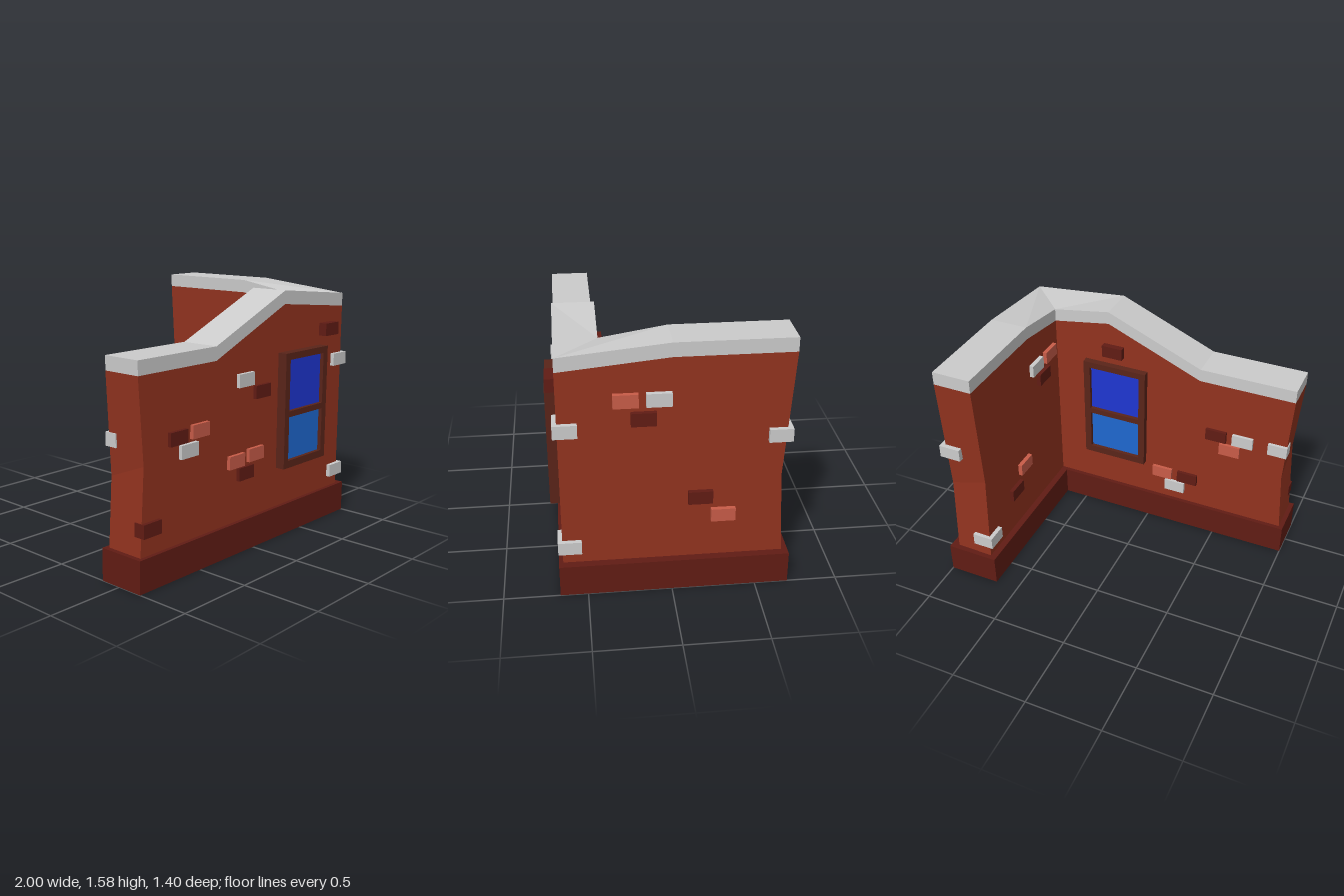
import * as THREE from 'three';

const material = (color) => new THREE.MeshStandardMaterial({ color, flatShading: true, side: THREE.DoubleSide });
const brickRed = material(0x92331f);
const darkRed = material(0x611c14);
const lightRed = material(0xc85c48);
const grey = material(0xcccccc);
const frameBrown = material(0x5a2419);
const glassTop = material(0x1e36d2);
const glassBottom = material(0x1f68d0);

// Joins cross-sections (each running up the outer side, then down the inner side) and caps both ends.
function loft(rings, closed) {
  const pos = [];
  const quad = (a, b, c, d) => pos.push(...a, ...b, ...c, ...a, ...c, ...d);
  const n = rings[0].length;
  for (let i = 0; i < rings.length - 1; i++) {
    const a = rings[i], b = rings[i + 1];
    for (let j = 0; j < (closed ? n : n - 1); j++) {
      const k = (j + 1) % n;
      quad(a[j], b[j], b[k], a[k]);
    }
  }
  const s = rings[0], e = rings[rings.length - 1];
  for (let k = 0; k < n / 2 - 1; k++) {
    quad(s[n - 1 - k], s[k], s[k + 1], s[n - 2 - k]);
    quad(e[k], e[n - 1 - k], e[n - 2 - k], e[k + 1]);
  }
  const g = new THREE.BufferGeometry();
  g.setAttribute('position', new THREE.Float32BufferAttribute(pos, 3));
  g.computeVertexNormals();
  return g;
}

// Stations along the L: outer x, z, inner x, z and top height
const stations = [
  [-0.978, 0.64, -0.978, 0.39, 1.31],
  [-0.34, 0.64, -0.34, 0.39, 1.31],
  [0.31, 0.64, 0.31, 0.39, 1.583],
  [0.95, 0.64, 0.7, 0.39, 1.52],
  [0.95, 0, 0.7, 0, 1.583],
  [0.95, -0.685, 0.7, -0.685, 1.583],
];
const copingHeight = 0.085;

function wallRing([ox, oz, ix, iz, top], i) {
  const y = top - copingHeight;
  // The two free ends are pinched in at mid height
  const dx = i === 0 ? 1 : 0, dz = i === stations.length - 1 ? 1 : 0;
  const outerMid = 0.72, innerMid = dx ? 0.62 : dz ? 0.8 : 0.72;
  return [
    [ox + dx * 0.008, 0.2, oz + dz * 0.02],
    [ox + dx * 0.038, outerMid, oz + dz * 0.05],
    [ox, y, oz],
    [ix, y, iz],
    [ix + dx * 0.033, innerMid, iz + dz * 0.045],
    [ix + dx * 0.008, 0.2, iz + dz * 0.015],
  ];
}

const copingRing = ([ox, oz, ix, iz, top]) => [
  [ox, top - copingHeight, oz], [ox, top, oz], [ix, top, iz], [ix, top - copingHeight, iz],
];

const baseRing = ([ox, oz, ix, iz]) => [[ox, 0, oz], [ox, 0.2, oz], [ix, 0.2, iz], [ix, 0, iz]];

function add(parent, name, geometry, mat) {
  const mesh = new THREE.Mesh(geometry, mat);
  mesh.name = name;
  parent.add(mesh);
  return mesh;
}

// Box given by its extents
function block(parent, name, mat, x0, x1, y0, y1, z0, z1) {
  const m = add(parent, name, new THREE.BoxGeometry(x1 - x0, y1 - y0, z1 - z0), mat);
  m.position.set((x0 + x1) / 2, (y0 + y1) / 2, (z0 + z1) / 2);
  return m;
}

function rectangle(Type, x0, x1, y0, y1) {
  return new Type([[x0, y0], [x1, y0], [x1, y1], [x0, y1]].map(([x, y]) => new THREE.Vector2(x, y)));
}

// Two-pane window, standing on its own z = 0 plane and facing +z
function makeWindow(name, depth) {
  const g = new THREE.Group();
  g.name = name;
  const frame = rectangle(THREE.Shape, -0.225, 0.225, 0.457, 1.2);
  frame.holes.push(rectangle(THREE.Path, -0.18, 0.18, 0.505, 0.79), rectangle(THREE.Path, -0.18, 0.18, 0.828, 1.157));
  add(g, 'windowFrame', new THREE.ExtrudeGeometry(frame, { depth, bevelEnabled: false }), frameBrown);
  block(g, 'lowerPane', glassBottom, -0.18, 0.18, 0.505, 0.79, 0, depth - 0.025);
  block(g, 'upperPane', glassTop, -0.18, 0.18, 0.828, 1.157, 0, depth - 0.025);
  return g;
}

export function createModel() {
  const model = new THREE.Group();
  model.name = 'cornerWall';

  add(model, 'wall', loft(stations.map(wallRing), false), brickRed);
  add(model, 'coping', loft(stations.map(copingRing), true), grey);

  // Plinth, hollow underneath
  const plinth = [[-1, 0.665, -1, 0.363], [1, 0.665, 0.657, 0.363], [1, -0.702, 0.657, -0.702]];
  add(model, 'plinth', loft(plinth.map(baseRing), false), darkRed);

  // Windows
  const front = makeWindow('frontWindow', 0.062);
  front.position.set(0.48, 0, 0.64);
  const back = makeWindow('backWindow', 0.045);
  back.rotation.y = Math.PI;
  back.position.set(0.255, 0, 0.39);
  model.add(front, back);

  // Protruding bricks: position along the wall, height, material
  const bricks = new THREE.Group();
  bricks.name = 'bricks';
  model.add(bricks);
  const w = 0.0715, h = 0.041;
  const frontBricks = [
    [-0.675, 0.835, darkRed], [-0.492, 0.846, lightRed], [-0.587, 0.745, grey],
    [-0.08, 1.08, grey], [0.083, 0.988, darkRed], [-0.16, 0.59, lightRed],
    [0.025, 0.602, lightRed], [-0.07, 0.5, darkRed],
  ];
  for (const [x, y, m] of frontBricks) block(bricks, 'frontBrick', m, x - w, x + w, y - h, y + h, 0.6, 0.663);
  block(bricks, 'frontBrick', darkRed, 0.69, 0.833, 1.262, 1.344, 0.62, 0.695);

  const backBricks = [
    [-0.475, 0.835, darkRed], [-0.66, 0.835, grey], [-0.575, 0.74, lightRed],
    [-0.1, 0.41, lightRed], [-0.285, 0.41, darkRed], [-0.195, 0.315, grey],
  ];
  for (const [x, y, m] of backBricks) block(bricks, 'backBrick', m, x - w, x + w, y - h, y + h, 0.368, 0.43);
  block(bricks, 'backBrick', darkRed, 0.2, 0.343, 1.265, 1.347, 0.35, 0.42);

  const sideBricks = [
    [0.26, 1.256, lightRed, grey === 0 ? grey : lightRed], [0.075, 1.256, grey, grey],
    [0.16, 1.14, darkRed, darkRed], [-0.165, 0.613, darkRed, lightRed], [-0.3, 0.488, lightRed, darkRed],
  ];
  for (const [z, y, outer, inner] of sideBricks) {
    block(bricks, 'rightBrick', outer, 0.91, 0.978, y - h, y + h, z - w, z + w);
    block(bricks, 'innerBrick', inner, 0.672, 0.74, y - h, y + h, z - w, z + w);
  }

  // Bricks that wrap around the corners and the free ends
  for (const y of [0.313, 1.085]) block(bricks, 'cornerBrick', grey, 0.835, 0.978, y - h, y + h, 0.527, 0.666);
  block(bricks, 'outerEndBrick', grey, 0.838, 0.978, 0.956, 1.038, -0.685, -0.547);
  block(bricks, 'innerEndBrick', grey, 0.672, 0.81, 0.28, 0.362, -0.685, -0.55);
  block(bricks, 'backEndBrick', grey, -0.965, -0.835, 0.795, 0.877, 0.368, 0.45);
  block(bricks, 'frontEndBrick', darkRed, -0.965, -0.823, 0.314, 0.397, 0.59, 0.663);

  return model;
}
